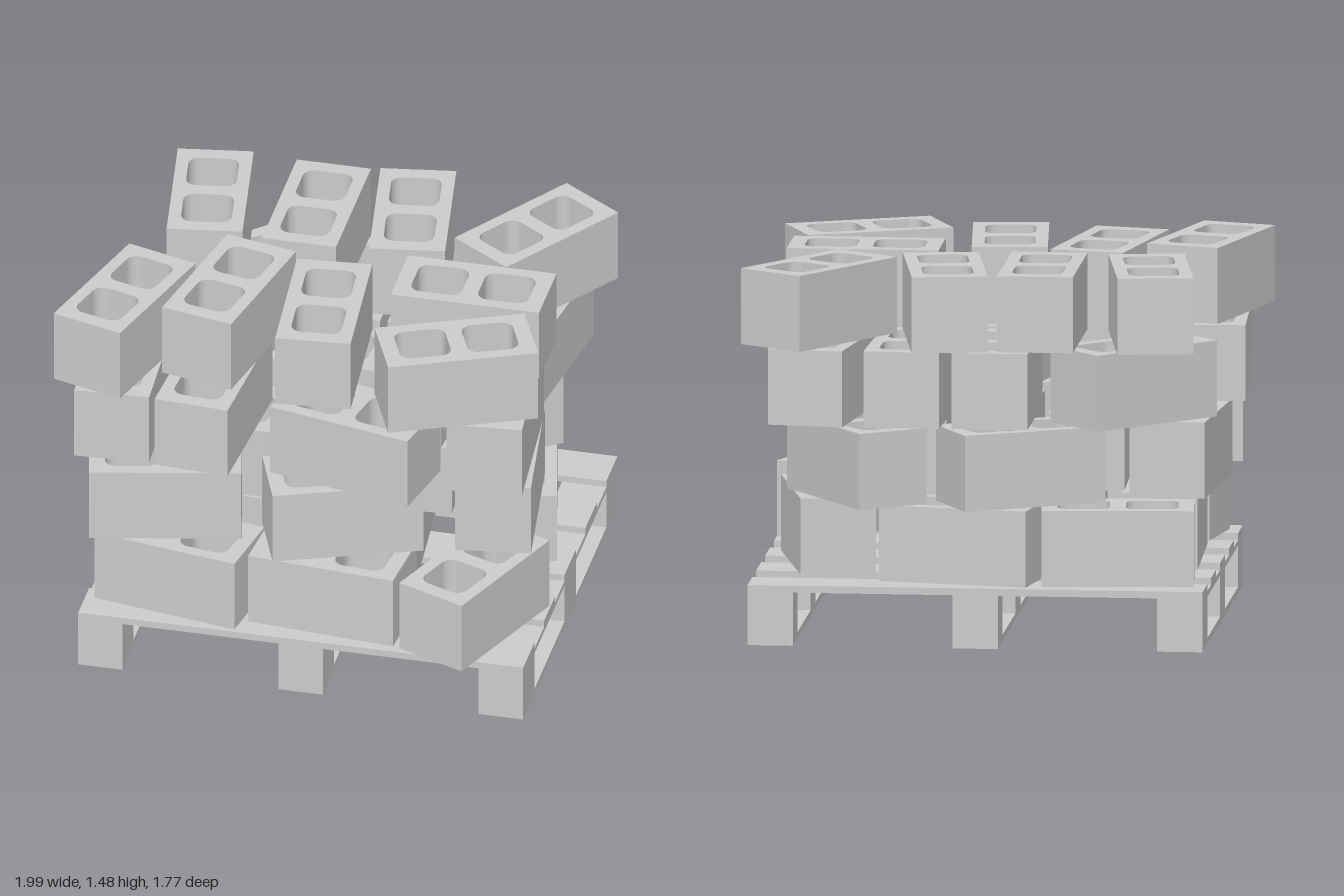
import * as THREE from 'three';

const material = new THREE.MeshStandardMaterial({ color: 0xcccccc, flatShading: true });
const BLOCK = { length: 0.6, width: 0.3, height: 0.303 };

// Rectangle outline with rounded corners, centred on (cx, 0)
function roundedHole(cx, w, h, r) {
  const p = new THREE.Path();
  const x = w / 2 - r, y = h / 2 - r;
  p.moveTo(cx + w / 2, -y);
  p.absarc(cx + x, y, r, 0, Math.PI / 2);
  p.absarc(cx - x, y, r, Math.PI / 2, Math.PI);
  p.absarc(cx - x, -y, r, Math.PI, Math.PI * 1.5);
  p.absarc(cx + x, -y, r, Math.PI * 1.5, Math.PI * 2);
  return p;
}

// Hollow block with two vertical cells, standing on y = 0, long side on x
function blockGeometry() {
  const a = BLOCK.length / 2, b = BLOCK.width / 2;
  const shape = new THREE.Shape([
    new THREE.Vector2(-a, -b), new THREE.Vector2(a, -b),
    new THREE.Vector2(a, b), new THREE.Vector2(-a, b),
  ]);
  for (const s of [-1, 1]) shape.holes.push(roundedHole(s * 0.135, 0.205, 0.2, 0.045));
  const geo = new THREE.ExtrudeGeometry(shape, { depth: BLOCK.height, bevelEnabled: false, curveSegments: 4 });
  return geo.rotateX(-Math.PI / 2);
}

// Box given by its limits on each axis
function slab(name, x0, x1, y0, y1, z0, z1) {
  const mesh = new THREE.Mesh(new THREE.BoxGeometry(x1 - x0, y1 - y0, z1 - z0), material);
  mesh.position.set((x0 + x1) / 2, (y0 + y1) / 2, (z0 + z1) / 2);
  mesh.name = name;
  return mesh;
}

function createPallet() {
  const pallet = new THREE.Group();
  pallet.name = 'pallet';
  const back = -0.83, front = 0.79;
  for (const x of [-0.76, 0.05, 0.86]) {
    const l = x - 0.09, r = x + 0.09;
    pallet.add(slab('bottomBoard', l, r, 0, 0.025, back, front));
    pallet.add(slab('stringerBoard', l, r, 0.19, 0.212, back, front));
    for (const [z0, z1] of [[back, -0.64], [-0.12, 0.08], [0.6, front]]) {
      pallet.add(slab('spacer', l, r, 0.025, 0.19, z0, z1));
    }
  }
  for (const [z0, z1] of [[back, -0.64], [-0.48, -0.28], [-0.12, 0.08], [0.24, 0.43], [0.6, front]]) {
    pallet.add(slab('deckBoard', -0.85, 0.95, 0.212, 0.24, z0, z1));
  }
  return pallet;
}

// Each layer: base height and blocks as [x, z, turn in degrees]
const layers = [
  { y: 0.245, blocks: [
    [-0.49, 0.58, -10], [0.13, 0.585, -5], [0.695, 0.545, 68],
    [-0.62, -0.02, 92], [-0.2, -0.02, 87], [0.22, -0.02, 95],
    [0.685, -0.265, 103], [-0.495, -0.62, 5], [0.12, -0.62, -10],
  ] },
  { y: 0.555, blocks: [
    [-0.56, 0.52, 12.5], [0.15, 0.49, 21], [0.71, 0.17, 98],
    [-0.7, -0.17, 85], [-0.33, -0.02, 92], [0.03, -0.04, 90], [0.37, -0.06, 92],
    [0.545, -0.55, -56], [-0.11, -0.617, 28],
  ] },
  { y: 0.862, blocks: [
    [-0.77, 0.32, 93], [-0.41, 0.33, 86], [0.2, 0.49, -12.5],
    [0.705, 0.23, 95], [0.69, -0.44, 82], [-0.54, -0.445, 44],
    [0, -0.45, 90], [0.34, -0.45, 88], [0.2, 0.07, -4],
  ] },
  { y: 1.173, blocks: [
    [-0.61, -0.46, 99], [-0.18, -0.46, 90], [0.2, -0.5, 99],
    [0.7, -0.5, 56], [0.56, -0.015, 0], [-0.77, 0.33, 73.5],
    [-0.385, 0.17, 78], [0.015, 0.245, 95], [0.59, 0.41, 23.5],
  ] },
];

export function createModel() {
  const model = new THREE.Group();
  model.name = 'palletOfBlocks';
  model.add(createPallet());

  // Loosely stacked layers of hollow blocks
  const geometry = blockGeometry();
  layers.forEach(({ y, blocks }, i) => {
    const layer = new THREE.Group();
    layer.name = `blockLayer${i + 1}`;
    for (const [x, z, turn] of blocks) {
      const block = new THREE.Mesh(geometry, material);
      block.name = 'hollowBlock';
      block.position.set(x, y, z);
      block.rotation.y = THREE.MathUtils.degToRad(turn);
      layer.add(block);
    }
    model.add(layer);
  });
  return model;
}
